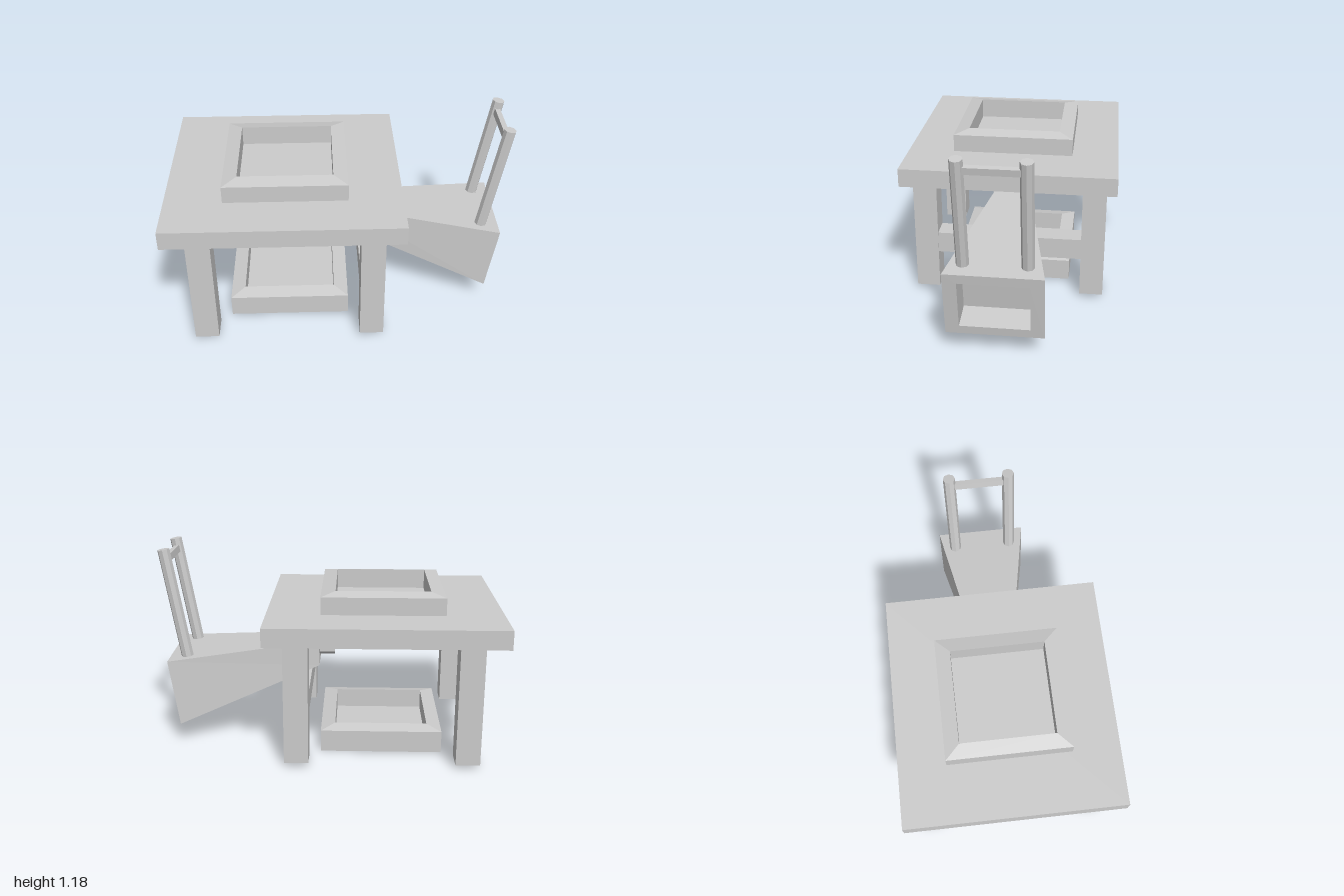
import * as THREE from 'three';

const material = new THREE.MeshStandardMaterial({ color: 0xcccccc, flatShading: true });

function add(parent, name, geometry, x = 0, y = 0, z = 0) {
  const mesh = new THREE.Mesh(geometry, material);
  mesh.name = name;
  mesh.position.set(x, y, z);
  parent.add(mesh);
  return mesh;
}

// Box given by its limits on each axis
function box(parent, name, x0, x1, y0, y1, z0, z1) {
  return add(parent, name, new THREE.BoxGeometry(x1 - x0, y1 - y0, z1 - z0),
    (x0 + x1) / 2, (y0 + y1) / 2, (z0 + z1) / 2);
}

// Closed skin through a series of four-cornered rings
function loft(rings) {
  const points = [];
  const quad = (a, b, c, d) => points.push(...a, ...b, ...c, ...a, ...c, ...d);
  quad(...[...rings[0]].reverse());
  for (let r = 0; r + 1 < rings.length; r++) {
    for (let i = 0; i < 4; i++) {
      const j = (i + 1) % 4;
      quad(rings[r][i], rings[r][j], rings[r + 1][j], rings[r + 1][i]);
    }
  }
  quad(...rings[rings.length - 1]);
  const geometry = new THREE.BufferGeometry();
  geometry.setAttribute('position', new THREE.Float32BufferAttribute(points, 3));
  geometry.computeVertexNormals();
  return geometry;
}

// Square tray with a bevelled rim and a sunken floor
function trayGeometry() {
  const ring = (half, y) => [[-half, y, half], [half, y, half], [half, y, -half], [-half, y, -half]];
  return loft([ring(0.357, 0), ring(0.357, 0.13), ring(0.273, 0.148), ring(0.273, 0.03)]);
}

// Tapered bellows body, open at the wide end
function bellowsGeometry() {
  const ring = (xBottom, yBottom, xTop, yTop, half) => [
    [xBottom, yBottom, half], [xBottom, yBottom, -half],
    [xTop, yTop, -half], [xTop, yTop, half]];
  return loft([
    ring(0.065, 0.455, 0.067, 0.61, 0.105),
    ring(0.9, 0.128, 0.96, 0.526, 0.272),
    ring(0.908, 0.18, 0.952, 0.47, 0.195),
    ring(0.745, 0.205, 0.789, 0.495, 0.195),
  ]);
}

export function createModel() {
  const model = new THREE.Group();
  model.name = 'forgeTable';

  // Table with four legs and one crossbar
  const table = new THREE.Group();
  table.name = 'table';
  model.add(table);
  box(table, 'tableTop', -1, 0.36, 0.737, 0.847, -0.63, 0.63);
  for (const x of [-0.8, 0.18]) {
    for (const z of [-0.502, 0.502]) {
      box(table, 'leg', x - 0.07, x + 0.07, 0.025, 0.737, z - 0.07, z + 0.07);
    }
  }
  box(table, 'crossbar', 0.115, 0.245, 0.262, 0.39, -0.435, 0.435);

  // Fire tray on the table and matching tray below it
  add(model, 'upperTray', trayGeometry(), -0.31, 0.82, 0);
  add(model, 'lowerTray', trayGeometry(), -0.31, 0.003, 0);

  // Bellows with a nozzle
  const bellows = new THREE.Group();
  bellows.name = 'bellows';
  model.add(bellows);
  add(bellows, 'bellowsBody', bellowsGeometry());
  const nozzle = new THREE.CylinderGeometry(0.038, 0.038, 0.1, 8);
  nozzle.rotateY(Math.PI / 8).rotateZ(Math.PI / 2);
  add(bellows, 'nozzle', nozzle, 0.023, 0.535, 0);

  // Leaning handle: two poles and a rung
  const handle = new THREE.Group();
  handle.name = 'handle';
  handle.position.set(0.843, 0.46, 0);
  handle.rotation.z = -0.166;
  bellows.add(handle);
  for (const z of [-0.175, 0.175]) {
    add(handle, 'handlePole', new THREE.CylinderGeometry(0.036, 0.036, 0.732, 8), 0, 0.366, z);
  }
  box(handle, 'handleRung', -0.016, 0.016, 0.65, 0.69, -0.16, 0.16);

  return model;
}
